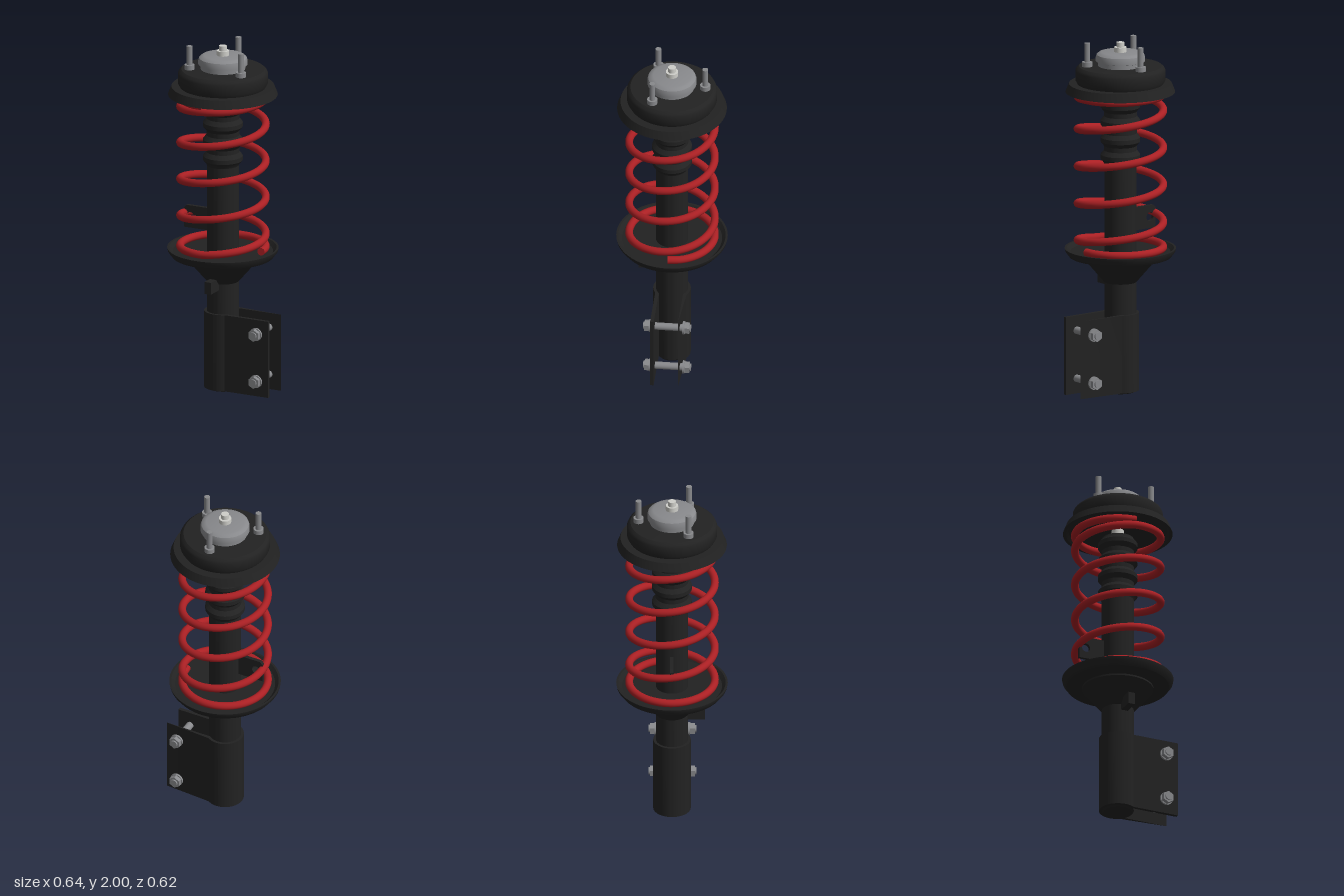
import * as THREE from 'three';
import { toCreasedNormals } from 'three/addons/utils/BufferGeometryUtils.js';

const mat = (name, color) => {
  const m = new THREE.MeshStandardMaterial({ color });
  m.name = name;
  return m;
};

export function createModel() {
  const black = mat('satin black', 0x222222);
  const red = mat('spring red', 0xab2024);
  const steel = mat('steel grey', 0x88898c);
  const chrome = mat('bright rod', 0xcfcfca);

  const model = new THREE.Group();
  model.name = 'strut';
  const axis = new THREE.Group(); // everything is laid out around the strut axis
  axis.name = 'strutAssembly';
  axis.position.x = -0.01;
  model.add(axis);

  const add = (name, geometry, material, x = 0, y = 0, z = 0, parent = axis) => {
    const mesh = new THREE.Mesh(geometry, material);
    mesh.name = name;
    mesh.position.set(x, y, z);
    parent.add(mesh);
    return mesh;
  };
  // Turned part: profile runs from the bottom, outwards and up to the top
  const turned = (name, profile, material, segments = 64) => add(name, toCreasedNormals(
    new THREE.LatheGeometry(profile.map(p => new THREE.Vector2(...p)), segments), 0.6), material);
  const rod = (name, r, y0, y1, material, x = 0, z = 0) =>
    add(name, new THREE.CylinderGeometry(r, r, y1 - y0, 32), material, x, (y0 + y1) / 2, z);

  // Damper tube and piston rod
  turned('damperTube', [[0, 0], [0.08, 0], [0.09, 0.012], [0.09, 1.34], [0, 1.34]], black);
  rod('pistonRod', 0.035, 1.3, 1.972, chrome);
  rod('rodTip', 0.022, 1.97, 2.0, chrome);

  // Ribbed dust boot
  const boot = [[0, 1.305], [0.09, 1.305]];
  for (let i = 0; i < 4; i++) {
    const y = 1.347 + i * 0.098;
    boot.push([0.092, y - 0.036], [0.111, y - 0.012], [0.111, y + 0.012], [0.092, y + 0.036]);
  }
  boot.push([0.09, 1.685], [0, 1.685]);
  turned('dustBoot', boot, black);

  // Lower spring seat dish and its support cone
  turned('lowerSpringSeat', [[0, 0.776], [0.286, 0.776], [0.308, 0.805], [0.312, 0.823],
    [0.3, 0.823], [0.28, 0.802], [0, 0.802]], black);
  turned('seatSupportCone', [[0, 0.63], [0.092, 0.63], [0.2, 0.757], [0.2, 0.767], [0, 0.767]], black);

  // Upper spring seat and rubber mount
  turned('upperSpringSeat', [[0, 1.738], [0.275, 1.738], [0.29, 1.717], [0.307, 1.717],
    [0.288, 1.765], [0, 1.765]], black);
  turned('rubberMount', [[0, 1.76], [0.238, 1.76], [0.252, 1.785], [0.252, 1.84],
    [0.246, 1.853], [0.232, 1.865], [0, 1.868]], black);
  turned('bearingCap', [[0, 1.86], [0.125, 1.86], [0.125, 1.89], [0.138, 1.894], [0.138, 1.915],
    [0.133, 1.931], [0.12, 1.941], [0.105, 1.945], [0, 1.945]], steel);

  // Three mounting studs
  for (let i = 0; i < 3; i++) {
    const a = -Math.PI / 2 + i * Math.PI * 2 / 3;
    const x = 0.187 * Math.cos(a), z = 0.187 * Math.sin(a);
    rod('studCollar', 0.029, 1.86, 1.892, steel, x, z);
    rod('mountingStud', 0.0165, 1.885, 2.0, steel, x, z);
  }

  // Coil spring with flattened end turns: [turn, height]
  const heights = [[0, 0.828], [0.5, 0.828], [0.75, 0.84], [1, 0.886], [4.5, 1.632],
    [4.75, 1.675], [5, 1.699], [5.25, 1.706], [6, 1.706]];
  const heightAt = t => {
    const i = Math.max(1, heights.findIndex(h => h[0] >= t));
    const [t0, y0] = heights[i - 1], [t1, y1] = heights[i];
    return y0 + (y1 - y0) * (t - t0) / (t1 - t0);
  };
  const coil = [];
  for (let i = 0; i <= 138; i++) {
    const t = i / 24, a = -t * Math.PI * 2;
    coil.push(new THREE.Vector3(0.24 * Math.cos(a), heightAt(t), 0.24 * Math.sin(a)));
  }
  add('coilSpring', new THREE.TubeGeometry(new THREE.CatmullRomCurve3(coil), 420, 0.022, 14), red);
  [[coil[0], coil[1]], [coil[138], coil[137]]].forEach(([end, next]) => {
    const cap = add('springEnd', new THREE.CircleGeometry(0.022, 14), red, end.x, end.y, end.z);
    cap.quaternion.setFromUnitVectors(new THREE.Vector3(0, 0, 1), end.clone().sub(next).normalize());
  });

  // Hose bracket with a round hole
  const tab = new THREE.Shape([[-0.24, 0.91], [-0.08, 0.91], [-0.08, 1.04], [-0.225, 1.04], [-0.24, 1.025]]
    .map(p => new THREE.Vector2(...p)));
  tab.holes.push(new THREE.Path().absarc(-0.2, 0.975, 0.025, 0, Math.PI * 2, true));
  add('hoseBracket', new THREE.ExtrudeGeometry(tab, { depth: 0.02, bevelEnabled: false }), black, 0, 0, -0.01);

  // Small front lug
  add('frontLug', new THREE.BoxGeometry(0.04, 0.07, 0.11), black, 0, 0.63, 0.13);

  // U-shaped knuckle clamp wrapped around the tube
  const a = Math.asin(0.088 / 0.105), b = Math.asin(0.068 / 0.085);
  const clamp = new THREE.Shape();
  clamp.moveTo(0.33, 0.088);
  clamp.absarc(0, 0, 0.105, a, Math.PI * 2 - a, false);
  clamp.lineTo(0.33, -0.088);
  clamp.lineTo(0.33, -0.068);
  clamp.absarc(0, 0, 0.085, Math.PI * 2 - b, b, true);
  clamp.lineTo(0.33, 0.068);
  const clampGeo = new THREE.ExtrudeGeometry(clamp, { depth: 0.445, bevelEnabled: false, curveSegments: 40 });
  clampGeo.rotateX(-Math.PI / 2);
  add('knuckleClamp', toCreasedNormals(clampGeo, 0.5), black, 0, 0.01, 0);

  // Clamp bolts with washers and hex heads on both sides
  const zRod = (r, length, sides) => new THREE.CylinderGeometry(r, r, length, sides).rotateX(Math.PI / 2);
  for (const y of [0.097, 0.372]) {
    const bolt = new THREE.Group();
    bolt.name = 'clampBolt';
    bolt.position.set(0.256, y, 0);
    axis.add(bolt);
    add('boltShank', zRod(0.021, 0.268, 24), steel, 0, 0, 0, bolt);
    for (const s of [-1, 1]) {
      add('boltWasher', zRod(0.037, 0.012, 32), steel, 0, 0, s * 0.094, bolt);
      add('hexNut', toCreasedNormals(zRod(0.035, 0.027, 6), 0.5), steel, 0, 0, s * 0.112, bolt);
    }
  }
  return model;
}
